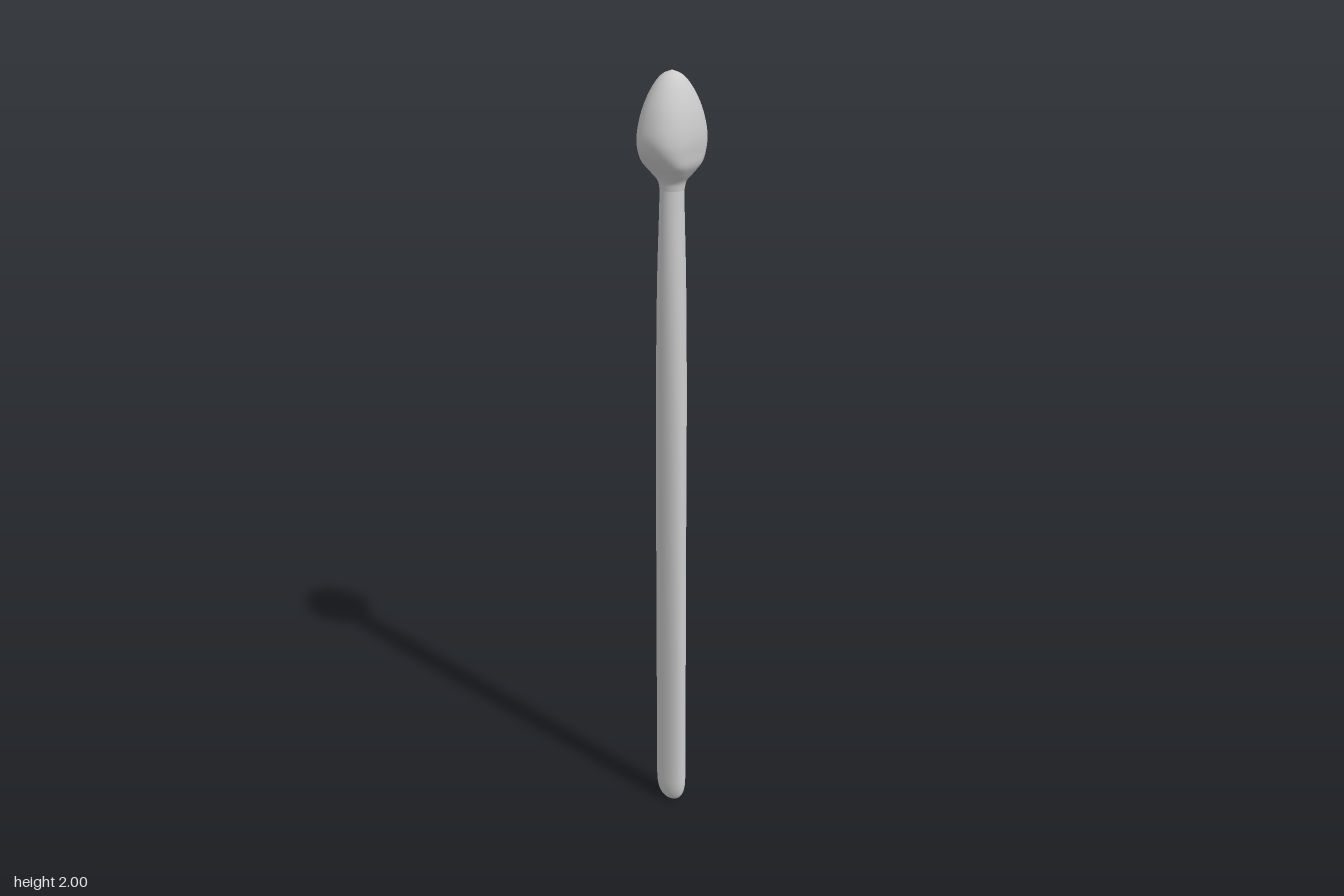
import * as THREE from 'three';

const SEGMENTS = 40;

// Smooth loft through sections [y, centre x, half width x, half depth z, roundness exponent], bottom to top
function loft(name, sections, material, steps = 5) {
  const curve = new THREE.CatmullRomCurve3(sections.map(([y, , rx, rz]) => new THREE.Vector3(rx, y, rz)));
  const rings = (sections.length - 1) * steps;
  const positions = [], indices = [];
  for (let i = 0; i <= rings; i++) {
    const t = i / rings;
    const k = Math.min(Math.floor(i / steps), sections.length - 2);
    const f = i / steps - k;
    const mix = (c) => THREE.MathUtils.lerp(sections[k][c], sections[k + 1][c], f);
    const p = curve.getPoint(t);
    const power = 2 / mix(4);
    for (let j = 0; j < SEGMENTS; j++) {
      const a = (j / SEGMENTS) * Math.PI * 2;
      const c = Math.cos(a), s = Math.sin(a);
      positions.push(
        mix(1) + Math.max(p.x, 0) * Math.sign(c) * Math.abs(c) ** power,
        THREE.MathUtils.clamp(p.y, 0, 2),
        Math.max(p.z, 0) * Math.sign(s) * Math.abs(s) ** power
      );
    }
  }
  for (let i = 0; i < rings; i++) {
    for (let j = 0; j < SEGMENTS; j++) {
      const a = i * SEGMENTS + j;
      const b = i * SEGMENTS + ((j + 1) % SEGMENTS);
      indices.push(a, a + SEGMENTS, b, b, a + SEGMENTS, b + SEGMENTS);
    }
  }
  const geometry = new THREE.BufferGeometry();
  geometry.setAttribute('position', new THREE.Float32BufferAttribute(positions, 3));
  geometry.setIndex(indices);
  geometry.computeVertexNormals();
  const mesh = new THREE.Mesh(geometry, material);
  mesh.name = name;
  return mesh;
}

export function createModel() {
  const group = new THREE.Group();
  group.name = 'stick';
  const material = new THREE.MeshStandardMaterial({ color: 0xcccccc });

  // Long handle: flattened at the rounded foot, round at the neck
  group.add(loft('handle', [
    [0, -0.004, 0, 0, 2],
    [0.004, -0.004, 0.012, 0.02, 2],
    [0.018, -0.004, 0.02, 0.034, 2.1],
    [0.045, -0.004, 0.025, 0.042, 2.2],
    [0.1, -0.004, 0.026, 0.044, 2.2],
    [0.4, -0.004, 0.026, 0.044, 2.2],
    [0.8, -0.004, 0.028, 0.043, 2.2],
    [1.2, -0.003, 0.031, 0.041, 2.2],
    [1.5, -0.002, 0.032, 0.036, 2.1],
    [1.66, -0.001, 0.03, 0.031, 2],
    [1.72, 0, 0.029, 0.03, 2],
  ], material));

  // Bud-shaped head: squarish shoulder above the neck, ogive tip
  group.add(loft('head', [
    [1.72, 0, 0.029, 0.03, 2],
    [1.74, 0, 0.032, 0.034, 2.2],
    [1.762, 0, 0.044, 0.05, 2.8],
    [1.785, 0, 0.061, 0.064, 3.2],
    [1.815, 0, 0.08, 0.069, 2.7],
    [1.848, 0, 0.088, 0.072, 2.3],
    [1.89, 0, 0.081, 0.068, 2.2],
    [1.93, 0, 0.067, 0.058, 2.1],
    [1.97, 0, 0.043, 0.04, 2],
    [1.99, 0, 0.022, 0.023, 2],
    [2, 0, 0, 0, 2],
  ], material));

  return group;
}
